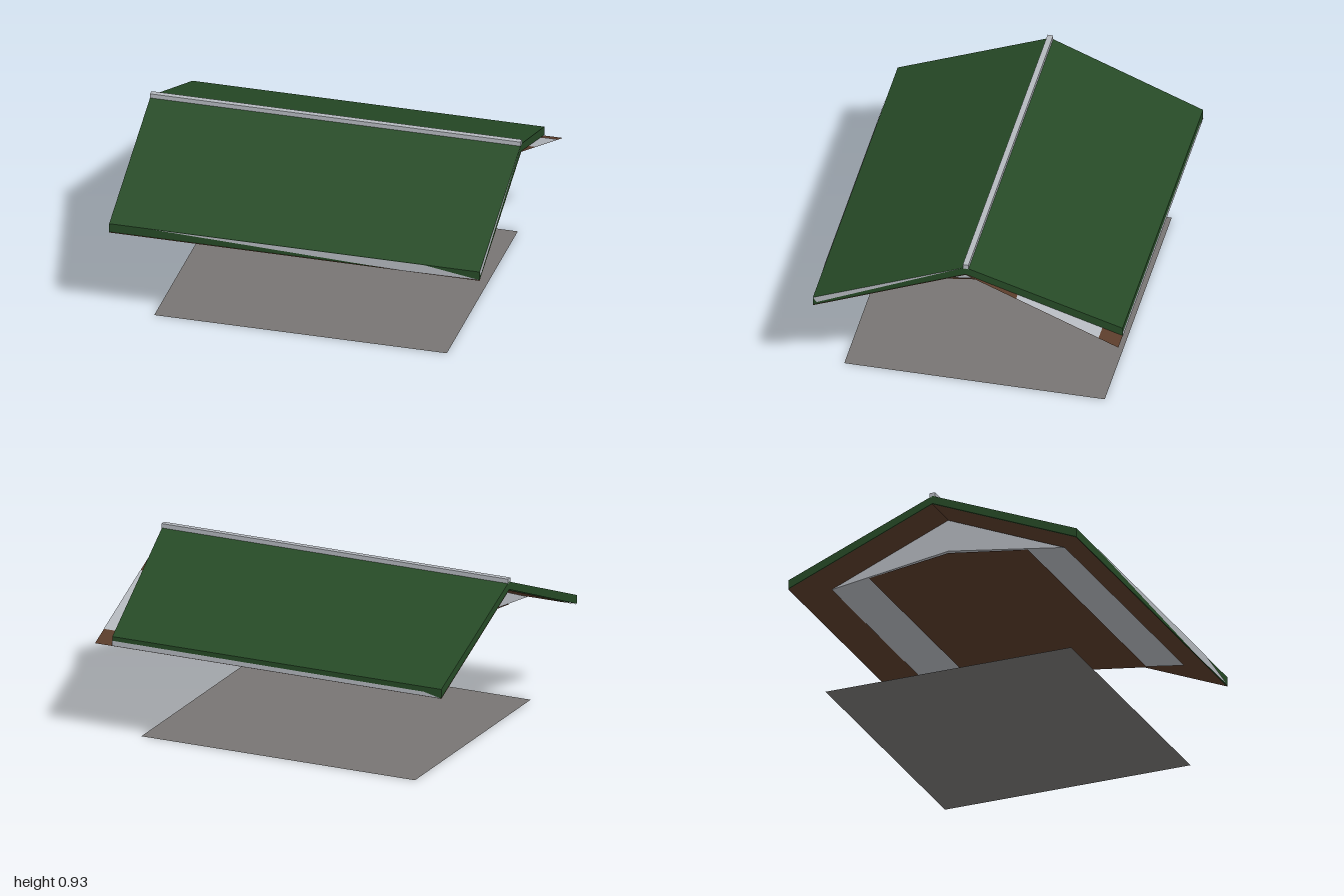
import * as THREE from 'three';
import { ConvexGeometry } from 'three/addons/geometries/ConvexGeometry.js';

const material = (name, color, side = THREE.FrontSide) => {
  const m = new THREE.MeshStandardMaterial({ color, side });
  m.name = name;
  return m;
};

export function createModel() {
  const group = new THREE.Group();
  const green = material('roof green', 0x264a26);
  const white = material('trim white', 0xb4b8be, THREE.DoubleSide);
  const brown = material('timber brown', 0x5a3c2a, THREE.DoubleSide);
  const grey = material('floor grey', 0x787573, THREE.DoubleSide);

  const add = (name, geometry, mat) => {
    const mesh = new THREE.Mesh(geometry, mat);
    mesh.name = name;
    group.add(mesh);
    return mesh;
  };
  const solid = (name, points, mat) =>
    add(name, new ConvexGeometry(points.map((p) => new THREE.Vector3(...p))), mat);
  // Flat convex plate from its corners
  const plate = (name, corners, mat) => {
    const pos = [];
    for (let i = 1; i < corners.length - 1; i++) pos.push(...corners[0], ...corners[i], ...corners[i + 1]);
    const g = new THREE.BufferGeometry();
    g.setAttribute('position', new THREE.Float32BufferAttribute(pos, 3));
    g.computeVertexNormals();
    return add(name, g, mat);
  };

  const eaveZ = 0.815;
  // Underside height at a given distance from the ridge
  const underY = (z) => 0.86 - (0.34 * Math.abs(z)) / eaveZ;

  for (const s of [1, -1]) {
    const side = s > 0 ? 'front' : 'back';
    const endX = s > 0 ? 1 : 0.9; // the back slope tapers at one end

    // Roof slab
    solid(side + 'RoofSlope', [
      [-1, 0.907, 0], [1, 0.907, 0], [-1, 0.864, 0], [1, 0.864, 0],
      [-1, 0.572, s * eaveZ], [endX, 0.572, s * eaveZ],
      [-1, 0.524, s * eaveZ], [endX, 0.524, s * eaveZ],
    ], green);

    // Timber underside
    plate(side + 'Soffit', [
      [-1, 0.86, 0], [1, 0.86, 0], [1, 0.52, s * eaveZ], [-1, 0.52, s * eaveZ],
    ], brown);

    // Half of the gable body with its sloped ceiling
    const body = [];
    for (const x of [-0.79, 0.79]) body.push([x, 0.857, 0], [x, 0.68, 0], [x, 0.58, s * 0.66]);
    solid(side + 'GableBody', body, white);

    // Timber ceiling panel
    plate(side + 'CeilingPanel', [
      [-0.788, 0.67, 0], [0.788, 0.67, 0], [0.788, 0.607, s * 0.45], [-0.788, 0.607, s * 0.45],
    ], brown);
  }

  // Pale strips on the eave edges
  plate('frontFascia', [
    [-0.77, 0.572, 0.818], [0.58, 0.522, 0.818], [1, 0.526, 0.818], [0.7, 0.572, 0.818],
  ], white);
  plate('backFascia', [
    [0.9, 0.55, -0.818], [0.9, 0.522, -0.818], [-1, 0.522, -0.818], [-0.9, 0.545, -0.818],
  ], white);

  // Pale board on the end of the front slope
  plate('endBoard', [
    [1.001, 0.905, 0.01], [1.001, 0.572, eaveZ], [1.001, 0.545, eaveZ - 0.02], [1.001, 0.66, 0.55],
  ], white);

  // Pale panel on the exposed strip of the back soffit
  plate('endPanel', [[1, 0], [0.88, 0], [0.88, 1], [1, 1]].map(([x, t]) => {
    const z = -0.27 - 0.44 * t;
    return [x, underY(z) + 0.002, z];
  }), white);

  // Ridge cap and floor
  add('ridgeCap', new THREE.BoxGeometry(2, 0.026, 0.03), white).position.y = 0.912;
  add('floor', new THREE.PlaneGeometry(1.58, 1.39).rotateX(-Math.PI / 2), grey);

  return group;
}
